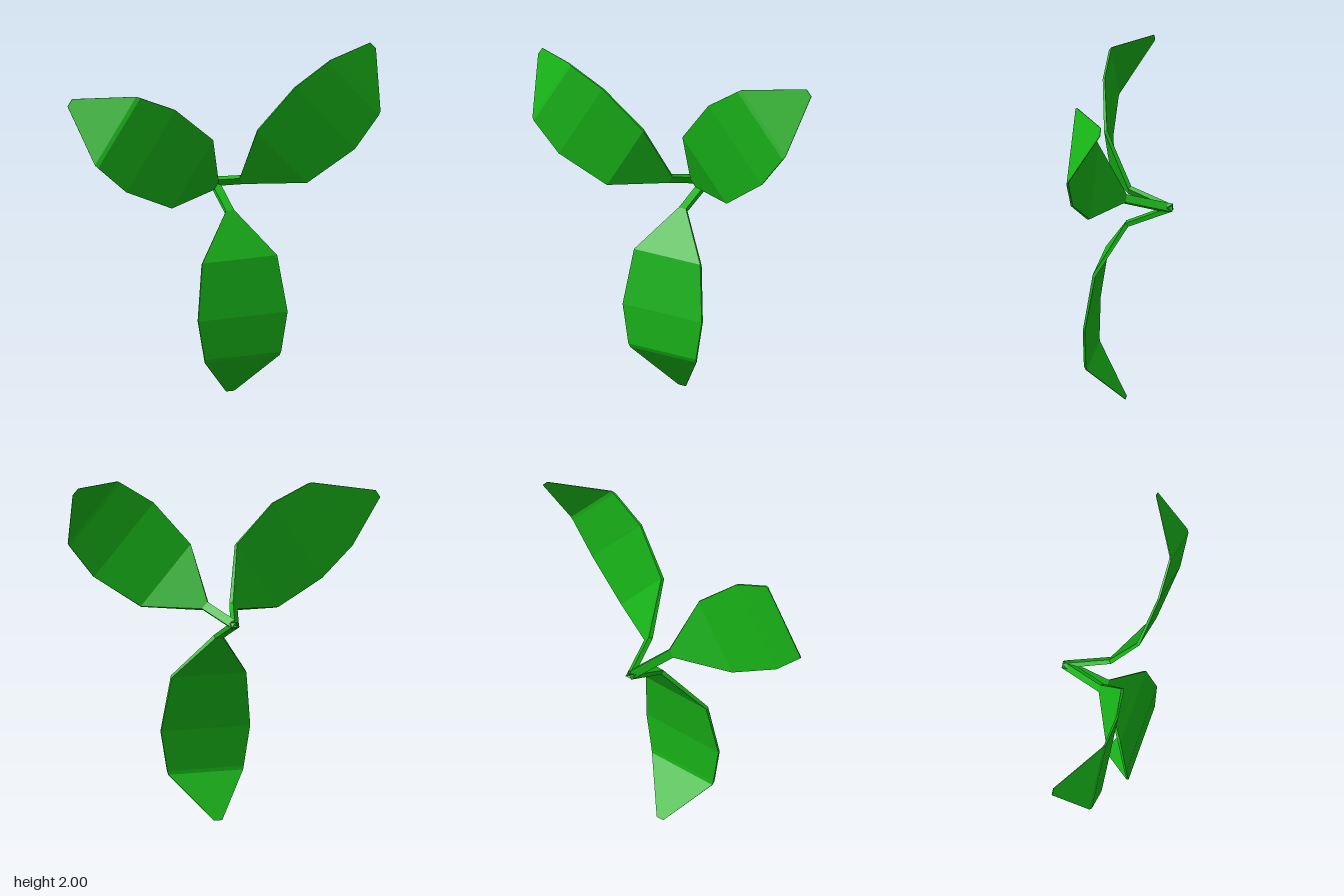
import * as THREE from 'three';

// Leaf cross-sections from stem to tip:
// [front distance, front z, back distance, back z, half width]
const SECTIONS = [
  [-0.01, -0.212, 0.01, -0.238, 0.025],
  [0.1, 0.035, 0.12, 0.018, 0.025],
  [0.35, 0.19, 0.36, 0.174, 0.23],
  [0.68, 0.24, 0.68, 0.228, 0.275],
  [0.915, 0.24, 0.915, 0.228, 0.235],
  [0.938, 0.23, 0.936, 0.225, 0.23],
  [1.185, 0.037, 1.185, 0.033, 0.025],
];

// Bent slab lofted through the sections, growing along +y and facing +z
function leafGeometry() {
  const points = [];
  const index = [];
  SECTIONS.forEach(([df, zf, db, zb, w], i) => {
    points.push(-w, df, zf, w, df, zf, w, db, zb, -w, db, zb);
    if (i === SECTIONS.length - 1) return;
    for (let k = 0; k < 4; k++) {
      const a = i * 4 + k;
      const b = i * 4 + ((k + 1) % 4);
      index.push(a, b, b + 4, a, b + 4, a + 4);
    }
  });
  const e = (SECTIONS.length - 1) * 4;
  index.push(0, 2, 1, 0, 3, 2, e, e + 1, e + 2, e, e + 2, e + 3); // end caps
  const indexed = new THREE.BufferGeometry();
  indexed.setAttribute('position', new THREE.Float32BufferAttribute(points, 3));
  indexed.setIndex(index);
  const geometry = indexed.toNonIndexed();
  geometry.computeVertexNormals();
  return geometry;
}

export function createModel() {
  const model = new THREE.Group();
  model.name = 'threeLeafSprig';
  const green = new THREE.MeshStandardMaterial({ color: 0x18b418, flatShading: true });
  const geometry = leafGeometry();

  // Three identical leaves fanned around the shared stem base
  const leaves = { lowerLeaf: -90, leftLeaf: 42, rightLeaf: 146.4 };
  for (const [name, degrees] of Object.entries(leaves)) {
    const leaf = new THREE.Mesh(geometry, green);
    leaf.name = name;
    leaf.position.set(0.05, 1.185, 0);
    leaf.rotation.z = THREE.MathUtils.degToRad(degrees - 90);
    model.add(leaf);
  }
  return model;
}
